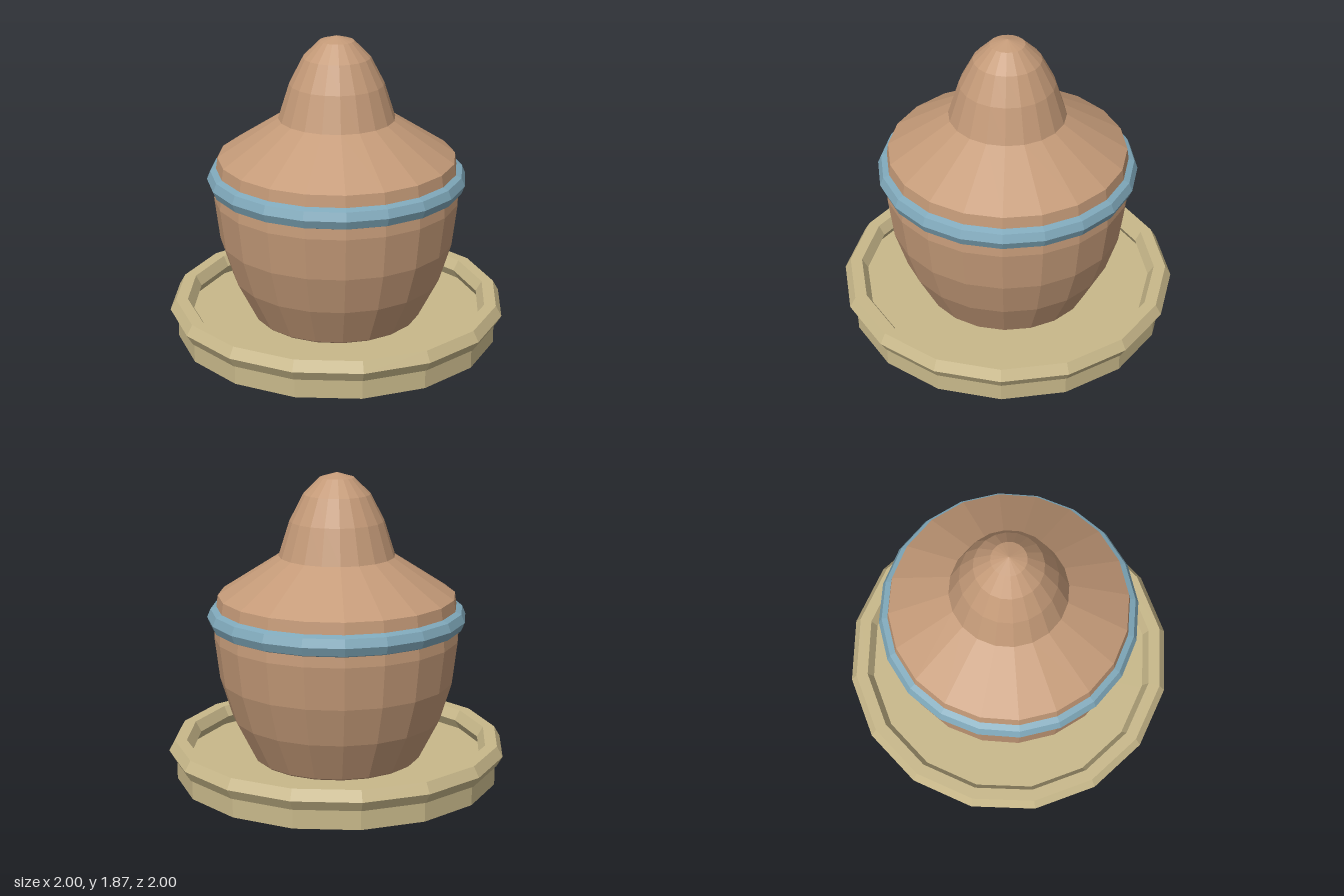
import * as THREE from 'three';

const material = (color) => new THREE.MeshStandardMaterial({ color, flatShading: true });
const clay = material(0xc49a78);
const sand = material(0xc8b88a);
const blue = material(0x7fa8ba);

export function createModel() {
  const group = new THREE.Group();

  const add = (name, geometry, mat, y = 0) => {
    const mesh = new THREE.Mesh(geometry, mat);
    mesh.name = name;
    mesh.position.y = y;
    group.add(mesh);
    return mesh;
  };

  // Profiles are [radius, height] pairs from bottom to top
  const turned = (name, profile) =>
    add(name, new THREE.LatheGeometry(profile.map(([r, y]) => new THREE.Vector2(r, y)), 20), clay);

  const ring = (name, radius, tube, sides, segments, mat, y) => {
    add(name, new THREE.TorusGeometry(radius, tube, sides, segments).rotateX(-Math.PI / 2), mat, y);
  };

  // Saucer: flat disc with a raised faceted rim
  add('saucerDisc', new THREE.CylinderGeometry(0.955, 0.955, 0.115, 16), sand, 0.1225);
  ring('saucerRim', 0.93, 0.07, 6, 16, sand, 0.239);

  // Rounded pot, its base bulging through the saucer
  turned('potBody', [
    [0, 0.005], [0.2, 0.022], [0.35, 0.07], [0.5, 0.19], [0.62, 0.43],
    [0.69, 0.66], [0.72, 0.91], [0.705, 1.09],
  ]);

  // Sloping lid with a tall domed knob
  turned('lid', [[0.705, 1.09], [0.695, 1.16], [0.34, 1.39]]);
  turned('knob', [[0.34, 1.39], [0.275, 1.595], [0.195, 1.75], [0.1, 1.845], [0, 1.875]]);

  // Coloured band around the seam
  ring('band', 0.69, 0.069, 8, 20, blue, 1.03);

  return group;
}
